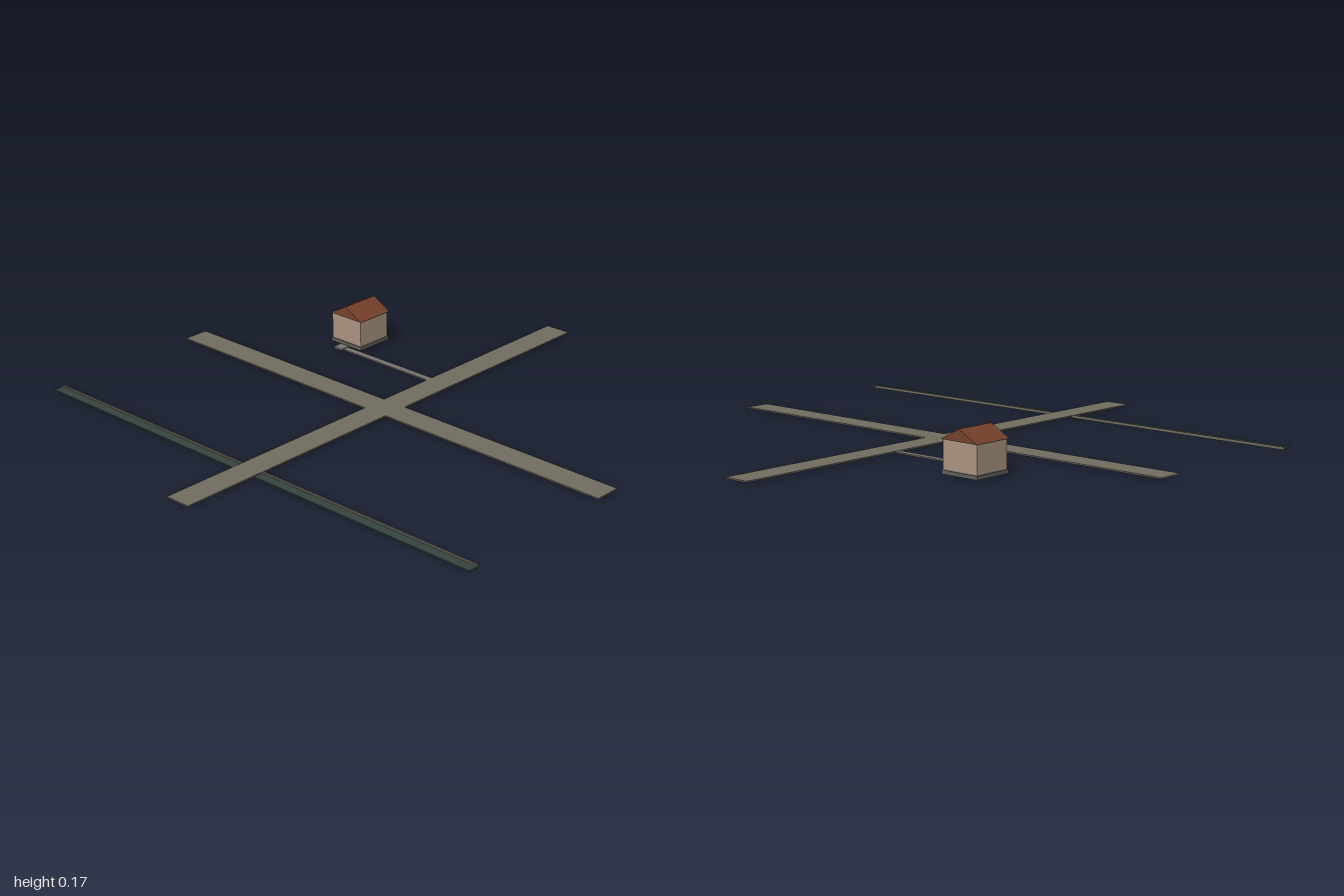
import * as THREE from 'three';

const paint = (name, color) => {
  const m = new THREE.MeshStandardMaterial({ color });
  m.name = name;
  return m;
};

export function createModel() {
  const model = new THREE.Group();
  const road = paint('road stone', 0x6f6b5d);
  const path = paint('path stone', 0x77726a);
  const water = paint('dark water', 0x35433f);
  const wall = paint('plaster wall', 0xa8927f);
  const base = paint('foundation stone', 0x5f5d57);
  const tile = paint('roof tile', 0x74402b);

  // box given by its extents on each axis
  const box = (name, mat, [x0, x1], [y0, y1], [z0, z1], parent = model) => {
    const mesh = new THREE.Mesh(new THREE.BoxGeometry(x1 - x0, y1 - y0, z1 - z0), mat);
    mesh.name = name;
    mesh.position.set((x0 + x1) / 2, (y0 + y1) / 2, (z0 + z1) / 2);
    parent.add(mesh);
    return mesh;
  };

  // crossing roads, with the long one lying over the other and the ditch
  box('longRoad', road, [-0.05, 0.05], [0.004, 0.009], [-1, 1]);
  for (const s of [-1, 1]) {
    const span = s < 0 ? [-1, -0.05] : [0.05, 1];
    box('crossRoad', road, span, [0.004, 0.009], [-0.05, 0.05]);
    // ditch: water bed with a stone bank along its back
    box('ditchWater', water, span, [0, 0.005], [0.664, 0.7]);
    box('ditchBank', road, span, [0, 0.01], [0.657, 0.664]);
  }

  // footpath and doorstep pad
  box('footpath', path, [-0.48, -0.05], [0.003, 0.008], [-0.312, -0.286]);
  box('doorstep', path, [-0.522, -0.48], [0.003, 0.01], [-0.317, -0.278]);

  // house
  const house = new THREE.Group();
  house.name = 'house';
  house.position.set(-0.5, 0, -0.4);
  model.add(house);
  box('foundation', base, [-0.078, 0.078], [0.006, 0.02], [-0.078, 0.078], house);
  box('walls', wall, [-0.074, 0.074], [0.02, 0.123], [-0.074, 0.074], house);
  const gable = new THREE.Shape([
    new THREE.Vector2(-0.08, 0.123),
    new THREE.Vector2(0.08, 0.123),
    new THREE.Vector2(0, 0.166),
  ]);
  const roof = new THREE.Mesh(
    new THREE.ExtrudeGeometry(gable, { depth: 0.16, bevelEnabled: false }), tile);
  roof.name = 'roof';
  roof.position.z = -0.08;
  house.add(roof);

  return model;
}
